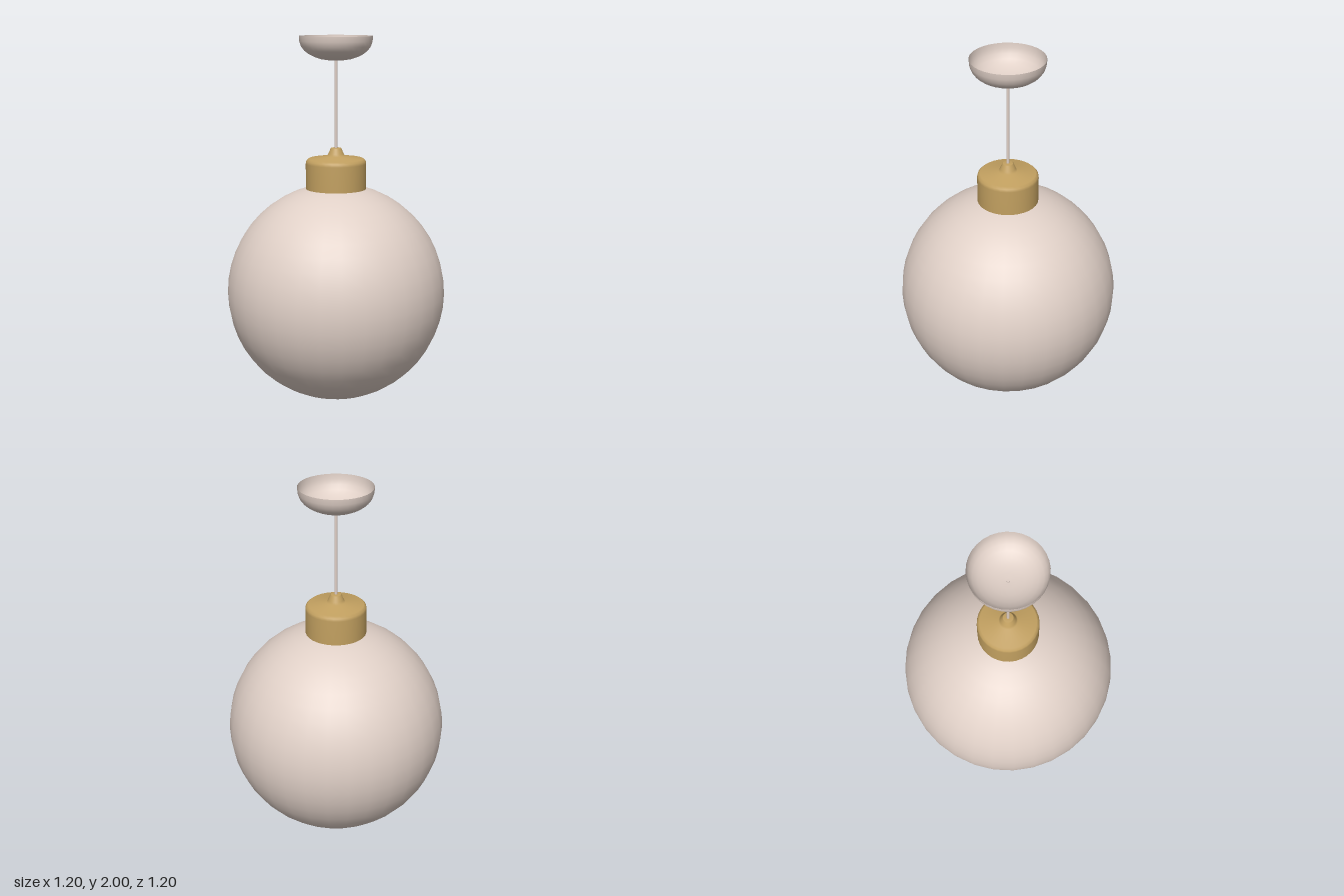
import * as THREE from 'three';

export function createModel() {
  const group = new THREE.Group();
  const blush = new THREE.MeshStandardMaterial({ color: 0xe0d0c7, side: THREE.DoubleSide });
  blush.name = 'pale blush';
  const brass = new THREE.MeshStandardMaterial({ color: 0xc2a060, side: THREE.DoubleSide });
  brass.name = 'brass';

  const add = (name, geometry, material, y = 0) => {
    const mesh = new THREE.Mesh(geometry, material);
    mesh.name = name;
    mesh.position.y = y;
    group.add(mesh);
  };
  const lathe = (points) =>
    new THREE.LatheGeometry(points.map(([r, y]) => new THREE.Vector2(r, y)), 32);

  // Round glass shade
  add('globe', new THREE.SphereGeometry(0.6, 32, 24), blush, 0.6);

  // Collar with a softened shoulder and a small tapered cord grip
  add('collar', lathe([
    [0.165, 1.175], [0.165, 1.315], [0.162, 1.33], [0.15, 1.341],
    [0.05, 1.355], [0.042, 1.368], [0.03, 1.396], [0.026, 1.4], [0, 1.4],
  ]), brass);

  // Hanging cord
  add('cord', new THREE.CylinderGeometry(0.008, 0.008, 0.49, 12), blush, 1.635);

  // Ceiling canopy: a shallow bowl, open at the top
  add('canopy', lathe([
    [0, 1.87], [0.04, 1.871], [0.08, 1.877], [0.115, 1.888], [0.145, 1.903],
    [0.17, 1.922], [0.187, 1.945], [0.196, 1.972], [0.198, 2],
  ]), blush);

  return group;
}
